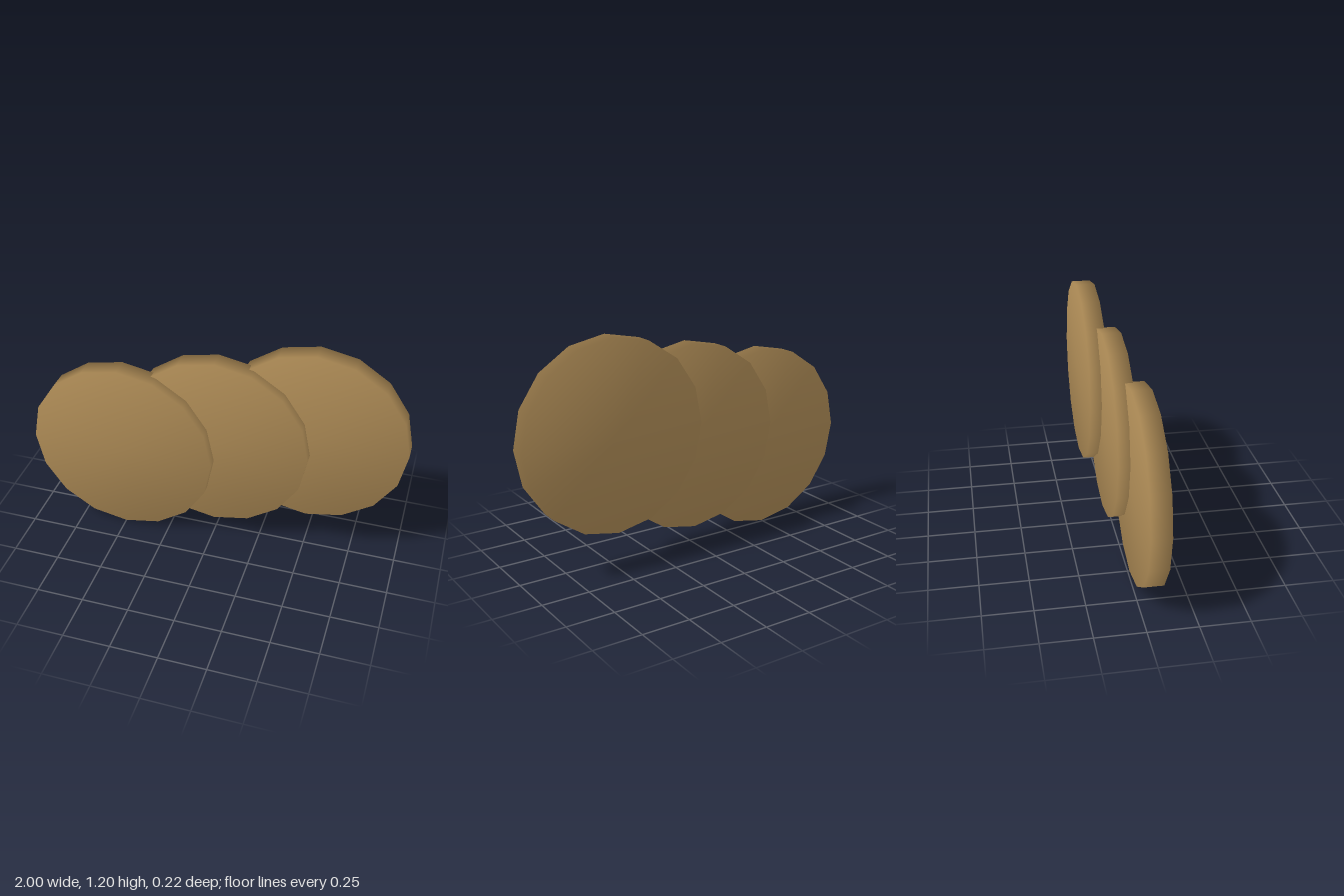
import * as THREE from 'three';
import { mergeVertices } from 'three/addons/utils/BufferGeometryUtils.js';

const RADIUS = 0.5, THICKNESS = 0.1, SIDES = 16;

// Sixteen-sided disc facing +z, with normals shared between rim and faces
function discGeometry() {
  let geometry = new THREE.CylinderGeometry(RADIUS, RADIUS, THICKNESS, SIDES);
  geometry.rotateX(Math.PI / 2);
  geometry.deleteAttribute('normal');
  geometry.deleteAttribute('uv');
  geometry = mergeVertices(geometry, 1e-4);
  geometry.computeVertexNormals();
  return geometry;
}

export function createModel() {
  const model = new THREE.Group();
  model.name = 'coins';
  const bronze = new THREE.MeshStandardMaterial({ color: 0xb08d57 });
  bronze.name = 'bronze';
  const geometry = discGeometry();

  // Overlapping coins stepping up and back towards +x
  ['frontCoin', 'middleCoin', 'backCoin'].forEach((name, i) => {
    const coin = new THREE.Mesh(geometry, bronze);
    coin.name = name;
    coin.position.set((i - 1) * 0.5, RADIUS + i * 0.1, (1 - i) * 0.06);
    model.add(coin);
  });
  return model;
}
